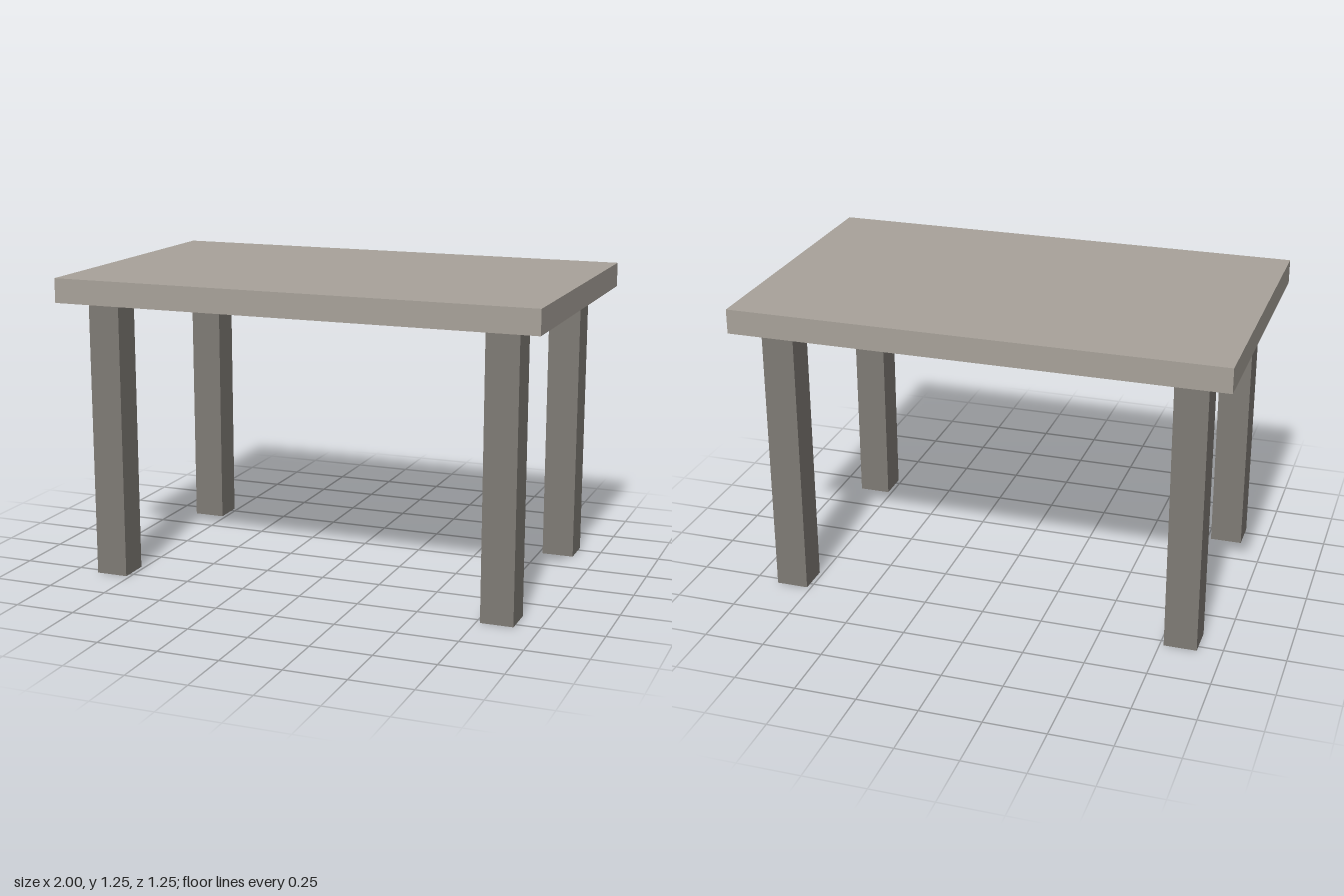
import * as THREE from 'three';

const TOP = { width: 2, depth: 1.246, thickness: 0.1 };
const LEG = { side: 0.133, height: 1.15, x: 0.833, z: 0.466 };

function addBox(parent, name, size, position, material) {
  const mesh = new THREE.Mesh(new THREE.BoxGeometry(...size), material);
  mesh.name = name;
  mesh.position.set(...position);
  parent.add(mesh);
}

export function createModel() {
  const table = new THREE.Group();
  table.name = 'table';
  const topMaterial = new THREE.MeshStandardMaterial({ color: 0xa8a29a });
  const legMaterial = new THREE.MeshStandardMaterial({ color: 0x7f7b75 });

  // Flat slab resting on the legs
  addBox(table, 'tabletop', [TOP.width, TOP.thickness, TOP.depth],
    [0, LEG.height + TOP.thickness / 2, 0], topMaterial);

  // Four square legs, inset from the corners
  for (const [sideName, sx] of [['Left', 1], ['Right', -1]]) {
    for (const [endName, sz] of [['front', 1], ['back', -1]]) {
      addBox(table, `${endName}${sideName}Leg`, [LEG.side, LEG.height, LEG.side],
        [sx * LEG.x, LEG.height / 2, sz * LEG.z], legMaterial);
    }
  }
  return table;
}
